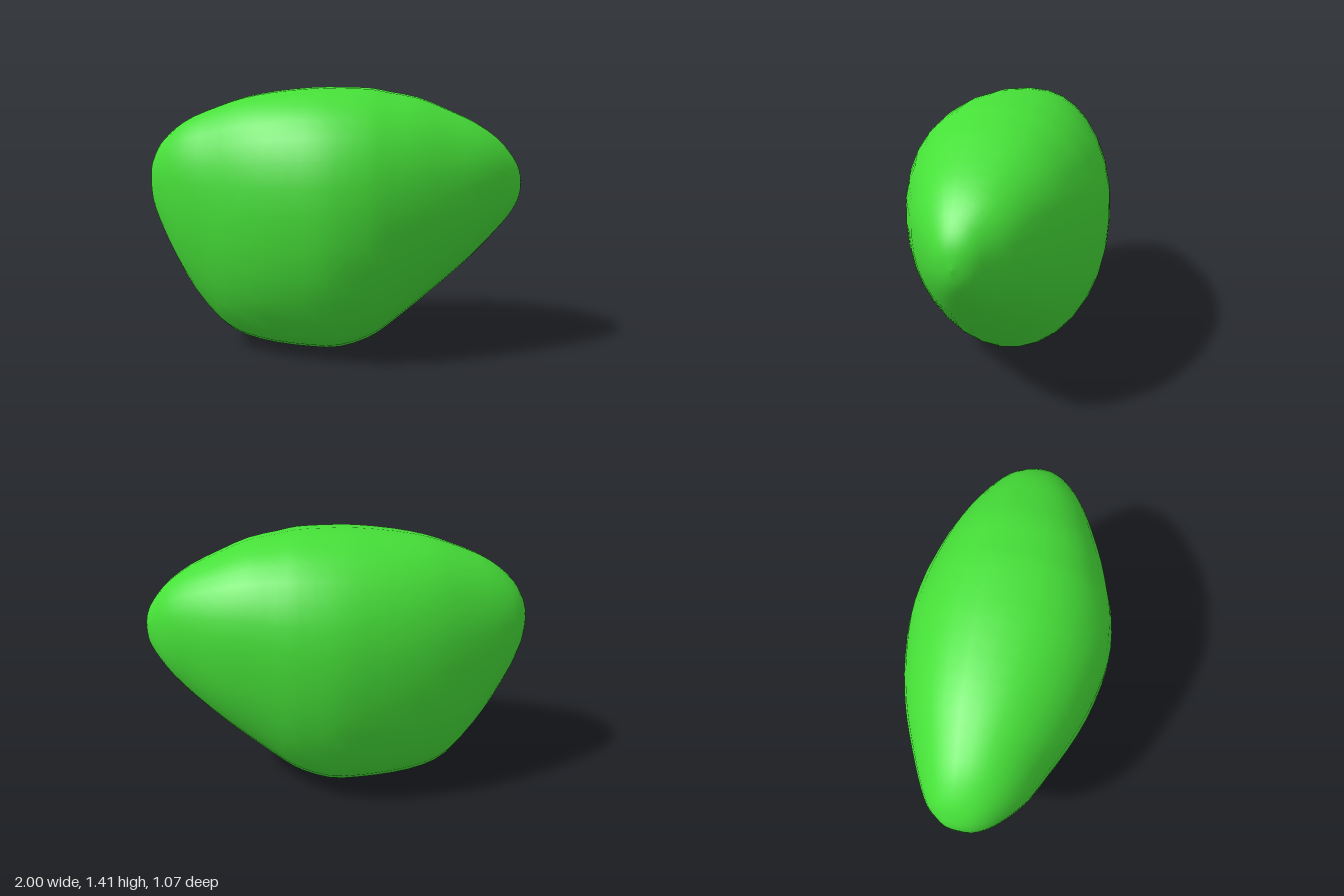
import * as THREE from 'three';

// Cross-sections along x: [x, top y, bottom y, front z, back z]
const SECTIONS = [
  [-1, 0.93, 0.93, -0.035, -0.035],
  [-0.99, 1.01, 0.79, 0.04, -0.1],
  [-0.96, 1.075, 0.7, 0.1, -0.15],
  [-0.92, 1.135, 0.61, 0.15, -0.2],
  [-0.84, 1.205, 0.45, 0.22, -0.255],
  [-0.74, 1.265, 0.285, 0.285, -0.31],
  [-0.6, 1.32, 0.12, 0.35, -0.38],
  [-0.47, 1.362, 0.05, 0.412, -0.435],
  [-0.3, 1.393, 0.015, 0.475, -0.487],
  [-0.1, 1.412, 0, 0.52, -0.525],
  [0.05, 1.413, 0.005, 0.53, -0.535],
  [0.2, 1.408, 0.058, 0.507, -0.517],
  [0.3, 1.389, 0.125, 0.475, -0.494],
  [0.45, 1.36, 0.25, 0.416, -0.448],
  [0.6, 1.3, 0.38, 0.345, -0.39],
  [0.75, 1.23, 0.52, 0.265, -0.31],
  [0.86, 1.155, 0.64, 0.185, -0.235],
  [0.93, 1.08, 0.725, 0.12, -0.15],
  [0.97, 1.02, 0.79, 0.075, -0.1],
  [0.99, 0.965, 0.84, 0.035, -0.055],
  [1, 0.9, 0.9, -0.005, -0.005],
];

// Smooth curve through three columns of the sections
const through = (a, b, c) => new THREE.CatmullRomCurve3(
  SECTIONS.map((s) => new THREE.Vector3(s[a], s[b], s[c])), false, 'catmullrom', 0.5);

// Rounded power: a lower exponent makes the ring fuller than an ellipse
const full = (v, exponent) => Math.sign(v) * Math.pow(Math.abs(v), exponent);

function pebbleGeometry(rings, sides) {
  const heights = through(0, 1, 2);
  const depths = through(0, 3, 4);
  const positions = [];
  const indices = [];
  for (let i = 0; i <= rings; i++) {
    const { x, y: top, z: bottom } = heights.getPoint(i / rings);
    const { y: front, z: back } = depths.getPoint(i / rings);
    // The widest level lies above the middle
    const midY = THREE.MathUtils.lerp(bottom, top, 0.56);
    const midZ = (front + back) / 2;
    for (let j = 0; j < sides; j++) {
      const angle = (j / sides) * Math.PI * 2;
      // The upper half is fuller than the lower
      const exponent = Math.sin(angle) > 0 ? 0.9 : 0.98;
      const s = full(Math.sin(angle), exponent);
      const c = full(Math.cos(angle), exponent);
      const y = midY + s * (s > 0 ? top - midY : midY - bottom);
      positions.push(x, Math.max(0, y), midZ + c * (front - back) / 2);
      if (i < rings) {
        const a = i * sides + j;
        const b = i * sides + (j + 1) % sides;
        indices.push(a, a + sides, b, b, a + sides, b + sides);
      }
    }
  }
  const geometry = new THREE.BufferGeometry();
  geometry.setAttribute('position', new THREE.Float32BufferAttribute(positions, 3));
  geometry.setIndex(indices);
  geometry.computeVertexNormals();
  return geometry;
}

export function createModel() {
  const group = new THREE.Group();
  group.name = 'pebble';
  // Single smooth body
  const body = new THREE.Mesh(
    pebbleGeometry(40, 32),
    new THREE.MeshStandardMaterial({ color: 0x46e038 }));
  body.name = 'body';
  group.add(body);
  return group;
}
